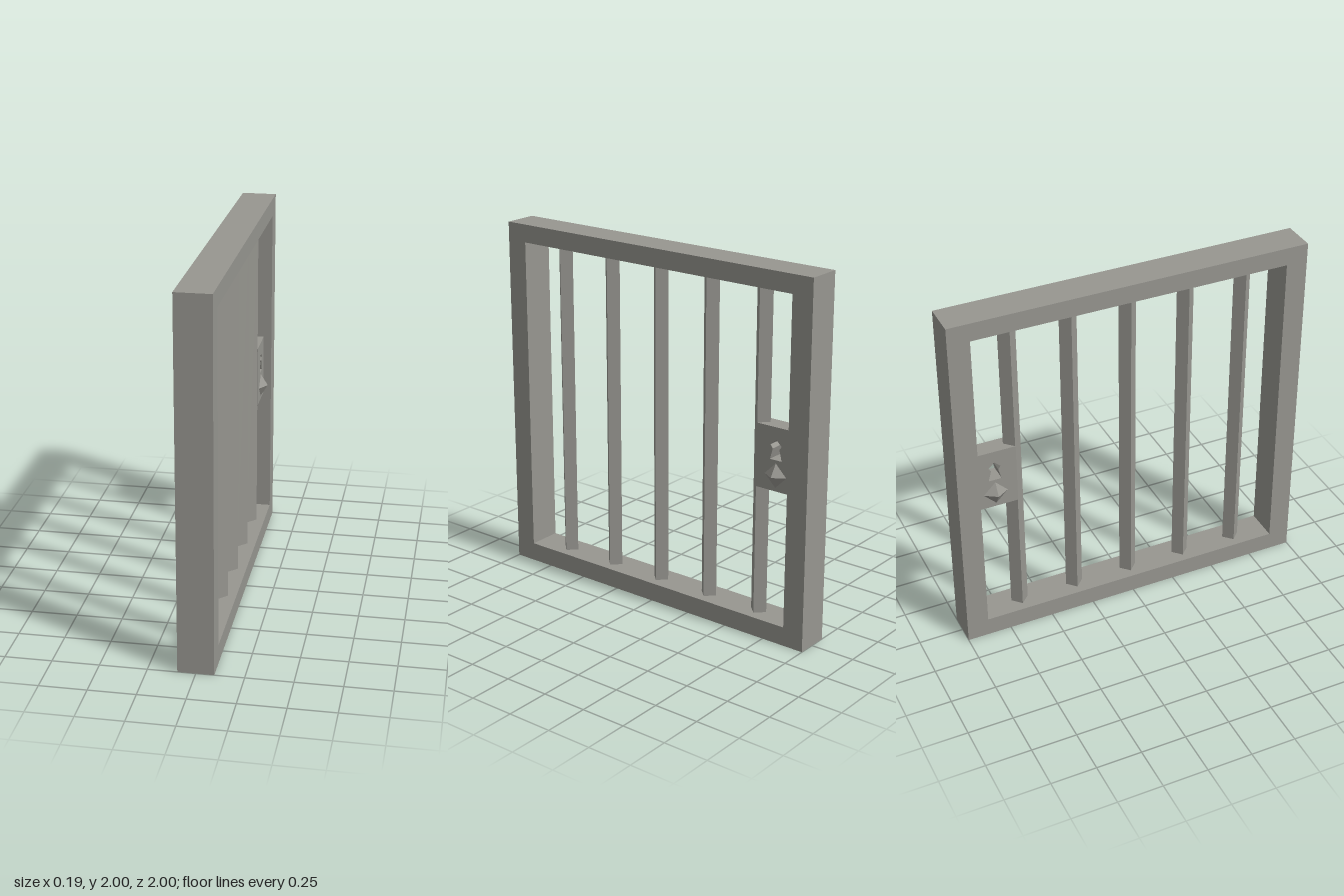
import * as THREE from 'three';

const polygon = (Type, points) => new Type(points.map(([x, y]) => new THREE.Vector2(x, y)));
const rect = (Type, x0, x1, y0, y1) => polygon(Type, [[x0, y0], [x1, y0], [x1, y1], [x0, y1]]);

// Flat plate with one opening, drawn in the plane of the gate and centred on x = 0
function plate(shape, hole, depth) {
  shape.holes.push(hole);
  return new THREE.ExtrudeGeometry(shape, { depth, bevelEnabled: false })
    .translate(0, 0, -depth / 2)
    .rotateY(Math.PI / 2);
}

export function createModel() {
  const group = new THREE.Group();
  const iron = new THREE.MeshStandardMaterial({ color: 0x979690, flatShading: true });
  iron.name = 'grey iron';

  const add = (name, geometry, x = 0, y = 0, z = 0) => {
    const mesh = new THREE.Mesh(geometry, iron);
    mesh.name = name;
    mesh.position.set(x, y, z);
    group.add(mesh);
    return mesh;
  };

  // Outer frame
  add('frame', plate(
    rect(THREE.Shape, -1, 1, 0, 2),
    rect(THREE.Path, -0.88, 0.88, 0.105, 1.9), 0.19));

  // Square bars turned edge-on
  const bar = new THREE.CylinderGeometry(0.049, 0.049, 1.8, 4, 1, true);
  for (let i = 0; i < 5; i++) add('bar' + (i + 1), bar, 0, 1.0025, 0.667 - 0.331 * i);

  // Lock box with a keyhole cut right through
  const k = 0.777;
  add('lockBox', plate(
    rect(THREE.Shape, 0.655, 0.88, 0.83, 1.178),
    polygon(THREE.Path, [
      [k - 0.036, 1.0], [k + 0.036, 1.0], [k + 0.02, 1.06], [k + 0.034, 1.08],
      [k, 1.11], [k - 0.034, 1.08], [k - 0.02, 1.06],
    ]), 0.1));

  // Diamond knob on each side of the lock
  for (const side of [-1, 1]) {
    const knob = add('knob', new THREE.OctahedronGeometry(1), side * 0.05, 0.916, -k);
    knob.scale.set(0.042, 0.067, 0.067);
  }
  return group;
}
